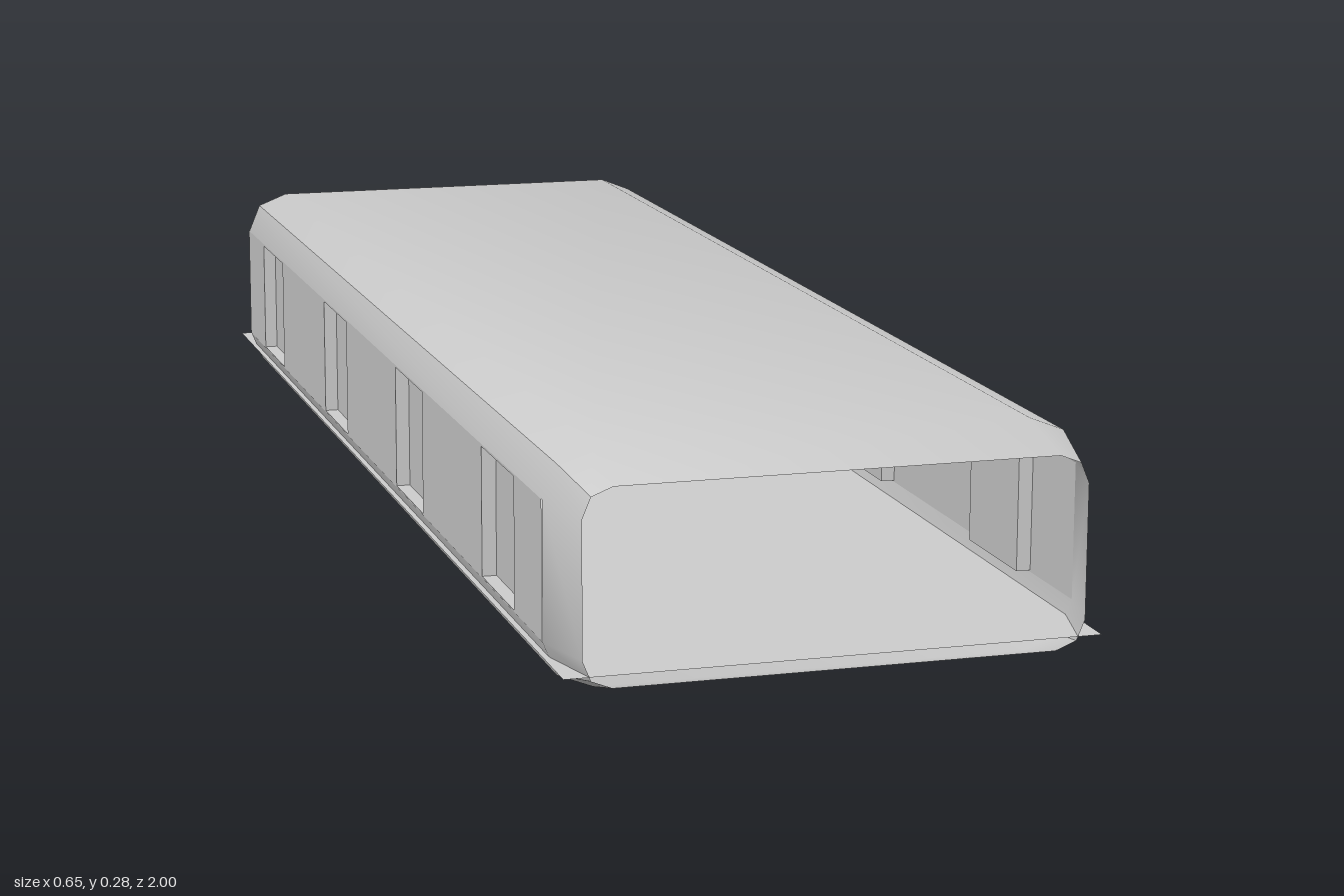
import * as THREE from 'three';
import { toCreasedNormals } from 'three/addons/utils/BufferGeometryUtils.js';

const material = new THREE.MeshStandardMaterial({ color: 0xcccccc, side: THREE.DoubleSide });

function add(parent, name, geometry, x = 0, y = 0, z = 0) {
  const mesh = new THREE.Mesh(geometry, material);
  mesh.name = name;
  mesh.position.set(x, y, z);
  parent.add(mesh);
  return mesh;
}

// Rounded rectangle, counterclockwise, with two facets at each corner
function ring({ w, y0, y1, c, z }) {
  const quarter = [[w, y1 - 0.058 * c], [w - 0.017 * c, y1 - 0.017 * c], [w - 0.06 * c, y1]];
  const flip = ([x, y]) => [x, y0 + y1 - y];
  const top = [...quarter, ...quarter.map(([x, y]) => [-x, y]).reverse()];
  return [...top, ...top.map(flip).reverse()].map(([x, y]) => [x, y, z]);
}

// Hollow tube, drawn in at both open ends
const sections = [
  { w: 0.303, y0: 0.025, y1: 0.258, c: 0.6, z: 1 },
  { w: 0.325, y0: 0, y1: 0.283, c: 1, z: 0.91 },
  { w: 0.325, y0: 0, y1: 0.283, c: 1, z: -0.91 },
  { w: 0.308, y0: 0.016, y1: 0.267, c: 0.8, z: -0.975 },
  { w: 0.28, y0: 0.05, y1: 0.245, c: 0.15, z: -1 },
];

function shellGeometry() {
  const rings = sections.map(ring);
  const n = rings[0].length;
  const index = [];
  for (let k = 0; k < rings.length - 1; k++) {
    for (let i = 0; i < n; i++) {
      // The long side walls are separate, with window openings
      if (k === 1 && (i === 5 || i === n - 1)) continue;
      const j = (i + 1) % n;
      const a = k * n + i, b = k * n + j, c = a + n, d = b + n;
      index.push(a, c, b, b, c, d);
    }
  }
  const geometry = new THREE.BufferGeometry();
  geometry.setAttribute('position', new THREE.Float32BufferAttribute(rings.flat(2), 3));
  geometry.setIndex(index);
  return toCreasedNormals(geometry, 0.5);
}

const windows = [0.705, 0.233, -0.238, -0.708];
const winW = 0.155, winY0 = 0.06, winY1 = 0.222;

function rectangle(path, x0, y0, x1, y1) {
  path.moveTo(x0, y0);
  path.lineTo(x1, y0);
  path.lineTo(x1, y1);
  path.lineTo(x0, y1);
  path.closePath();
  return path;
}

// Side wall facing +x, with its recessed windows
function sideWall(name, side) {
  const wall = new THREE.Group();
  wall.name = name;
  const shape = rectangle(new THREE.Shape(), -0.91, 0.058, 0.91, 0.225);
  for (const z of windows) {
    shape.holes.push(rectangle(new THREE.Path(), -z - winW / 2, winY0, -z + winW / 2, winY1));
  }
  add(wall, 'wall', new THREE.ShapeGeometry(shape).rotateY(Math.PI / 2), 0.325);

  const depth = 0.018, h = winY1 - winY0, mid = (winY0 + winY1) / 2;
  const x = 0.325 - depth / 2;
  for (const z of windows) {
    add(wall, 'windowPane', new THREE.PlaneGeometry(winW, h).rotateY(Math.PI / 2), 0.325 - depth, mid, z);
    for (const s of [-1, 1]) {
      add(wall, 'windowJamb', new THREE.PlaneGeometry(depth, h), x, mid, z + s * winW / 2);
      add(wall, 'windowSill', new THREE.PlaneGeometry(depth, winW).rotateX(-Math.PI / 2), x, mid + s * h / 2, z);
    }
  }
  // Turning half round keeps the faces outward
  if (side < 0) wall.children.forEach((m) => { m.position.x *= -1; m.position.z *= -1; m.rotation.y = Math.PI; });
  if (side < 0) wall.position.z = windows[0] + windows[3];
  return wall;
}

export function createModel() {
  const model = new THREE.Group();
  model.name = 'hollowBody';

  add(model, 'shell', shellGeometry());
  model.add(sideWall('leftWall', 1), sideWall('rightWall', -1));

  // Thin square-cornered floor sheet running the full footprint
  add(model, 'floor', new THREE.PlaneGeometry(0.65, 2).rotateX(-Math.PI / 2), 0, 0.04, 0);

  // Slender upright posts inside
  for (const x of [0.067, 0.142]) {
    for (const s of [-1, 1]) {
      add(model, 'post', new THREE.CylinderGeometry(0.0015, 0.0015, 0.2, 8), s * x, 0.158, 0);
    }
  }
  return model;
}
